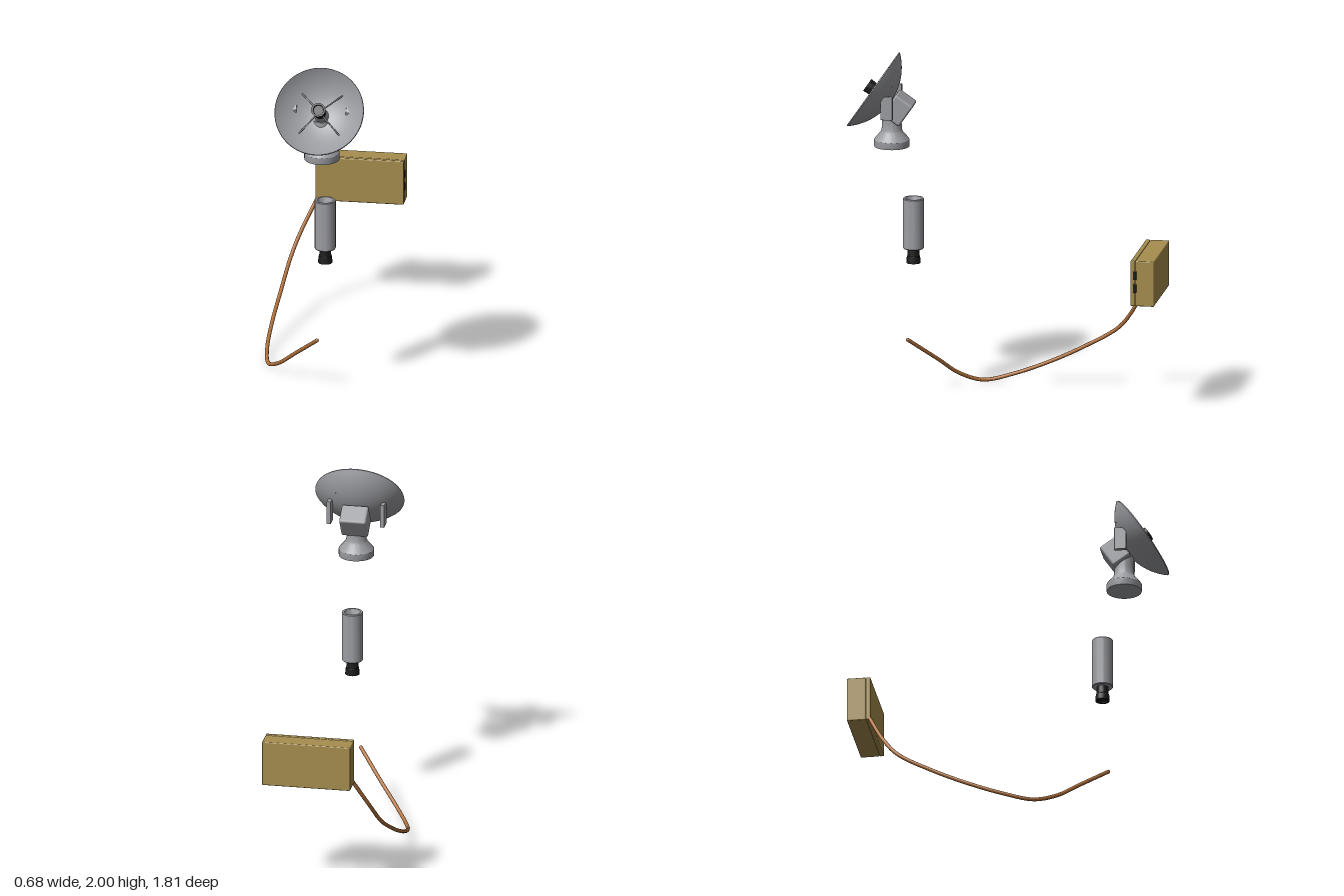
import * as THREE from 'three';
import { toCreasedNormals } from 'three/addons/utils/BufferGeometryUtils.js';
import { RoundedBoxGeometry } from 'three/addons/geometries/RoundedBoxGeometry.js';

const mat = (name, color) => {
  const m = new THREE.MeshStandardMaterial({ color });
  m.name = name;
  return m;
};

export function createModel() {
  const grey = mat('grey metal', 0x9c9da2);
  const black = mat('black rubber', 0x1c1c1c);
  const tan = mat('tan case', 0xa68e4e);
  const copper = mat('copper', 0xb0703a);

  const root = new THREE.Group();
  root.name = 'antennaKit';

  const add = (parent, name, geometry, material, x = 0, y = 0, z = 0) => {
    const mesh = new THREE.Mesh(geometry, material);
    mesh.name = name;
    mesh.position.set(x, y, z);
    parent.add(mesh);
    return mesh;
  };
  const lathe = (points, segments = 40) =>
    toCreasedNormals(new THREE.LatheGeometry(points.map(p => new THREE.Vector2(...p)), segments), 0.5);
  const group = (name, x, y, z) => {
    const g = new THREE.Group();
    g.name = name;
    g.position.set(x, y, z);
    root.add(g);
    return g;
  };

  // Flared plug with a stepped collar, narrow end at y = 0
  const plug = length => lathe([
    [0, 0], [0.032, 0], [0.035, length * 0.55], [0.038, length * 0.58],
    [0.041, length * 0.9], [0.041, length], [0.03, length], [0.028, length * 0.9], [0, length * 0.9]
  ], 24);

  // Dish assembly: local y is the dish axis, origin at the rim centre
  const R = 0.257, DEPTH = 0.12;
  const dish = group('dishAssembly', 0.08, 1.7875, 0.76);
  dish.rotation.x = 0.972;
  const sphereR = (R * R + DEPTH * DEPTH) / (2 * DEPTH);
  const bowlY = r => sphereR - DEPTH - Math.sqrt(sphereR * sphereR - r * r);
  const back = [], front = [];
  for (let i = 0; i <= 16; i++) {
    const r = R * i / 16;
    back.push([r, bowlY(r)]);
    front.unshift([r * 0.99, bowlY(r) + 0.006]);
  }
  add(dish, 'dishBowl', lathe([...back, ...front], 64), grey);

  // Feed horn on its stem, with four struts
  add(dish, 'feedStem', new THREE.CylinderGeometry(0.03, 0.045, 0.09, 24), grey, 0, -0.088, 0);
  add(dish, 'feedHorn', plug(0.095), black, 0, -0.05, 0);
  for (let i = 0; i < 4; i++) {
    const a = Math.PI / 4 + i * Math.PI / 2;
    const at = (r, y) => new THREE.Vector3(r * Math.cos(a), y, r * Math.sin(a));
    const line = new THREE.LineCurve3(at(0.168, bowlY(0.168)), at(0.02, -0.012));
    add(dish, 'feedStrut', new THREE.TubeGeometry(line, 1, 0.0045, 8), grey);
  }

  // Tilt housing behind the bowl
  add(dish, 'tiltHousing', new RoundedBoxGeometry(0.155, 0.12, 0.145, 3, 0.012), grey, 0, -0.18, 0);

  // Pedestal with a flared foot
  add(root, 'pedestal', lathe([
    [0, 1.46], [0.1, 1.46], [0.101, 1.465], [0.101, 1.5], [0.096, 1.508],
    [0.064, 1.545], [0.058, 1.56], [0.056, 1.6], [0.054, 1.7], [0, 1.7]
  ]), grey, 0.08, 0, 0.655);

  // Side brackets, drawn in (z, y) and mirrored across the dish
  const bracket = new THREE.Shape([
    [0.627, 1.655], [0.688, 1.655], [0.688, 1.762], [0.668, 1.783], [0.627, 1.783]
  ].map(p => new THREE.Vector2(-p[0], p[1])));
  const bracketGeo = new THREE.ExtrudeGeometry(bracket, {
    depth: 0.018, bevelEnabled: true, bevelSize: 0.004, bevelThickness: 0.004, bevelSegments: 2
  });
  bracketGeo.translate(0, 0, -0.009).rotateY(Math.PI / 2);
  for (const s of [-1, 1]) add(root, 'sideBracket', bracketGeo, grey, 0.08 + s * 0.155, 0, 0);

  // Open canister with a plug in its lower end
  const canister = group('canister', 0.08, 0.865, 0.53);
  add(canister, 'canisterTube', lathe([
    [0.033, 0], [0.057, 0], [0.06, 0.004], [0.06, 0.291], [0.057, 0.295],
    [0.046, 0.295], [0.044, 0.291], [0.044, 0.012], [0.033, 0.012]
  ]), grey);
  add(canister, 'canisterFloor', new THREE.CylinderGeometry(0.043, 0.043, 0.008, 32), black, 0, 0.016, 0);
  const lowerPlug = add(canister, 'canisterPlug', plug(0.09), black, 0, 0.005, 0);
  lowerPlug.rotation.x = Math.PI;

  // Case with a front lid and two latches on its left end
  const box = group('case', 0.08, 0.7775, 0);
  add(box, 'caseBody', new RoundedBoxGeometry(0.51, 0.265, 0.109, 3, 0.006), tan, 0, 0, -0.8505);
  add(box, 'caseLid', new RoundedBoxGeometry(0.51, 0.265, 0.026, 3, 0.006), tan, 0, 0, -0.782);
  add(box, 'caseSeam', new THREE.BoxGeometry(0.5, 0.255, 0.02), tan, 0, 0, -0.795);
  for (const y of [-0.028, 0.047])
    add(box, 'caseLatch', new RoundedBoxGeometry(0.008, 0.05, 0.021, 2, 0.003), black, 0.255, y, -0.794);

  // Hanging cable from the case corner
  const path = new THREE.CatmullRomCurve3([
    [-0.16, 0.665, -0.78], [-0.25, 0.47, -0.68], [-0.29, 0.355, -0.59], [-0.315, 0.23, -0.39],
    [-0.332, 0.125, -0.18], [-0.33, 0.045, 0.03], [-0.3, 0.012, 0.19], [-0.22, 0.065, 0.315],
    [-0.11, 0.17, 0.42], [0.038, 0.314, 0.57]
  ].map(p => new THREE.Vector3(...p)));
  add(root, 'cable', new THREE.TubeGeometry(path, 90, 0.011, 10), copper);
  for (const t of [0, 1]) {
    const p = path.getPoint(t);
    add(root, 'cableEnd', new THREE.SphereGeometry(0.011, 10, 8), copper, p.x, p.y, p.z);
  }

  return root;
}
